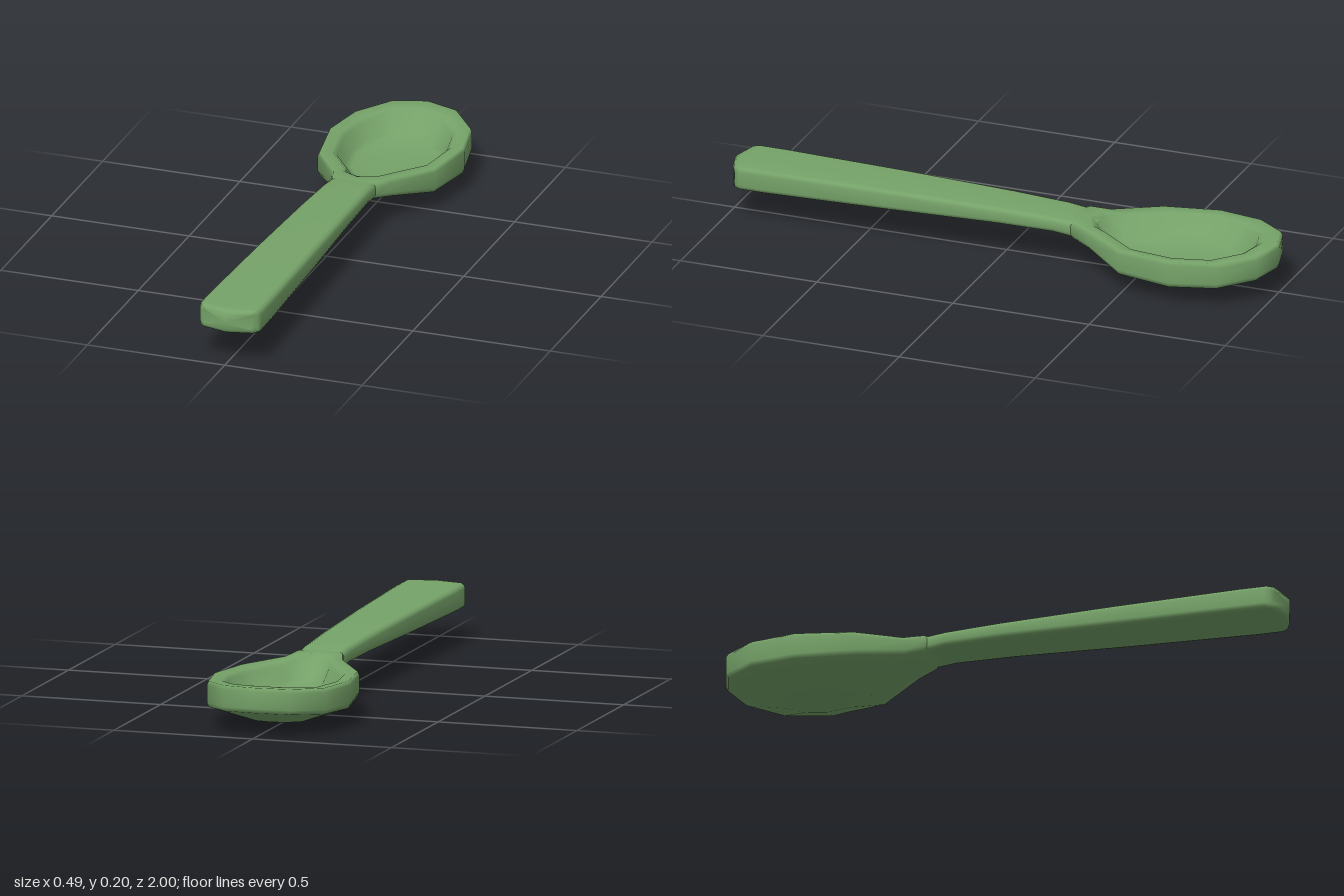
import * as THREE from 'three';

// Skin rings of equal length, closing both ends with a pole point
function loft(first, rings, last) {
  const n = rings[0].length;
  const pos = [first, ...rings.flat(), last].flat();
  const end = rings.length * n + 1;
  const id = (i, j) => 1 + i * n + (j % n);
  const index = [];
  for (let j = 0; j < n; j++) {
    index.push(0, id(0, j), id(0, j + 1));
    for (let i = 0; i < rings.length - 1; i++) {
      const a = id(i, j), b = id(i, j + 1), c = id(i + 1, j), d = id(i + 1, j + 1);
      index.push(a, c, b, b, c, d);
    }
    index.push(id(rings.length - 1, j), end, id(rings.length - 1, j + 1));
  }
  const g = new THREE.BufferGeometry();
  g.setAttribute('position', new THREE.Float32BufferAttribute(pos, 3));
  g.setIndex(index);
  g.computeVertexNormals();
  return g;
}

// Bowl: rings scaled from one outline, from the belly over the rim to the floor
function bowlGeometry() {
  const cz = -0.66;
  // x, z, rim height, lower edge height
  const half = [
    [0, -1, 0.176, 0.088],
    [0.12, -0.967, 0.172, 0.083],
    [0.214, -0.855, 0.163, 0.072],
    [0.247, -0.69, 0.16, 0.066],
    [0.213, -0.49, 0.157, 0.07],
    [0.105, -0.335, 0.164, 0.1],
    [0.081, -0.265, 0.174, 0.117],
    [0, -0.22, 0.177, 0.122],
  ];
  const outline = [...half, ...half.slice(1, -1).reverse().map(([x, ...r]) => [-x, ...r])];
  const ring = (s, height) => outline.map(([x, z, t, b]) => [x * s, height(t, b), cz + (z - cz) * s]);
  const rings = [
    ring(0.45, (t, b) => b * 0.29),
    ring(0.82, (t, b) => b * 0.78),
    ring(0.975, (t, b) => b),
    ring(1, (t, b) => b + 0.016),
    ring(1, (t) => t - 0.014),
    ring(0.975, (t) => t),
    ring(0.81, (t) => t - 0.004),
    ring(0.75, (t) => t - 0.018),
    ring(0.64, () => 0.096),
    ring(0.56, () => 0.083),
    ring(0.3, () => 0.077),
  ];
  return loft([0, 0, cz], rings, [0, 0.075, cz]);
}

// Handle: rounded rectangular sections running from the end to the neck
function handleGeometry() {
  // z, half width, bottom, top, corner radius, bow of the end
  const sections = [
    [0.998, 0.088, 0.13, 0.186, 0.014, 0.03],
    [0.988, 0.105, 0.118, 0.197, 0.016, 0.03],
    [0.965, 0.113, 0.114, 0.2, 0.018, 0.026],
    [0.85, 0.113, 0.114, 0.2, 0.018, 0],
    [0.4, 0.102, 0.12, 0.196, 0.018, 0],
    [0, 0.09, 0.127, 0.189, 0.018, 0],
    [-0.2, 0.083, 0.125, 0.182, 0.018, 0],
    [-0.27, 0.081, 0.116, 0.174, 0.018, 0],
    [-0.335, 0.085, 0.108, 0.161, 0.018, 0],
  ];
  const rings = sections.map(([z, w, b, t, r, bow]) => {
    const k = 0.3 * r;
    const right = [[w - r, b], [w - k, b + k], [w, b + r], [w, t - r], [w - k, t - k], [w - r, t]];
    const left = right.map(([x, y]) => [-x, y]).reverse();
    return [[0, b], ...right, [0, t], ...left].map(([x, y]) => [x, y, z - bow * (x / w) ** 2]);
  });
  return loft([0, 0.158, 1], rings, [0, 0.135, -0.34]);
}

export function createModel() {
  const green = new THREE.MeshStandardMaterial({ color: 0x76a369 });
  green.name = 'leaf green';
  const spoon = new THREE.Group();
  spoon.name = 'spoon';
  const add = (name, geometry) => {
    const mesh = new THREE.Mesh(geometry, green);
    mesh.name = name;
    spoon.add(mesh);
  };
  add('bowl', bowlGeometry());
  add('handle', handleGeometry());
  return spoon;
}
